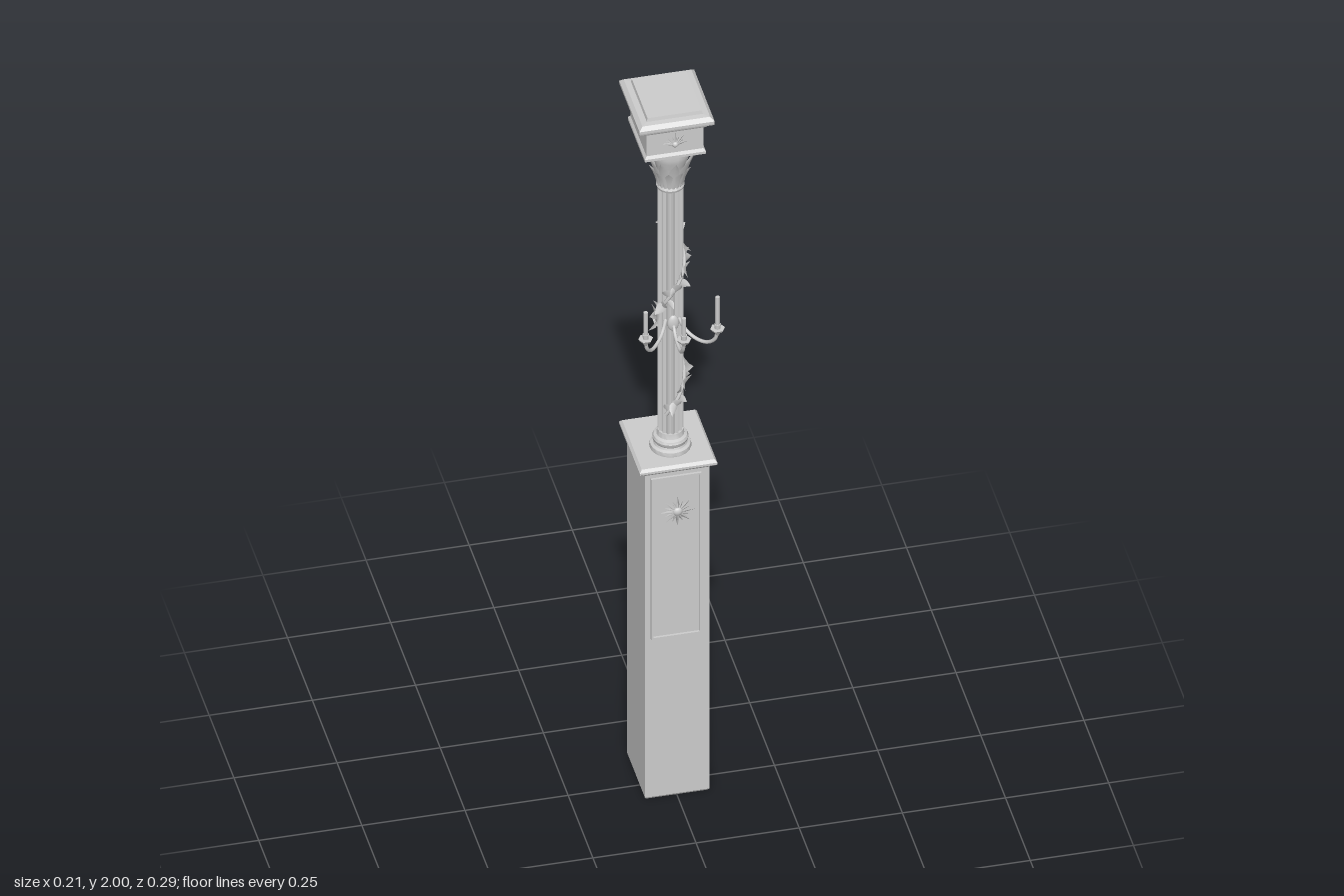
import * as THREE from 'three';
import { toCreasedNormals } from 'three/addons/utils/BufferGeometryUtils.js';

const stone = new THREE.MeshStandardMaterial({ color: 0xcccccc, side: THREE.DoubleSide });
stone.name = 'stone';

const COLUMN_Z = -0.01;

function add(parent, name, geometry, x = 0, y = 0, z = 0) {
  const mesh = new THREE.Mesh(geometry, stone);
  mesh.name = name;
  mesh.position.set(x, y, z);
  parent.add(mesh);
  return mesh;
}

function group(parent, name, x = 0, y = 0, z = 0) {
  const g = new THREE.Group();
  g.name = name;
  g.position.set(x, y, z);
  parent.add(g);
  return g;
}

// Stacked rectangular moulding: profile of [half width, height], deeper than wide by 2 * extra
function moulding(profile, extra) {
  const pos = [], index = [];
  for (const [h, y] of profile) {
    const d = h + extra;
    pos.push(-h, y, d, h, y, d, h, y, -d, -h, y, -d);
  }
  for (let r = 0; r < profile.length - 1; r++) {
    for (let i = 0; i < 4; i++) {
      const a = r * 4 + i, b = r * 4 + (i + 1) % 4;
      index.push(a, b, b + 4, a, b + 4, a + 4);
    }
  }
  const t = (profile.length - 1) * 4;
  index.push(0, 2, 1, 0, 3, 2, t, t + 1, t + 2, t, t + 2, t + 3);
  const g = new THREE.BufferGeometry();
  g.setAttribute('position', new THREE.Float32BufferAttribute(pos, 3));
  g.setIndex(index);
  const flat = g.toNonIndexed();
  flat.computeVertexNormals();
  return flat;
}

function lathe(points, segments = 32) {
  const g = new THREE.LatheGeometry(points.map(([r, y]) => new THREE.Vector2(r, y)), segments);
  return toCreasedNormals(g, 0.6);
}

// Pointed leaf growing up from the origin, folded at the midrib and curling to +z
function leafGeometry(width, length, curl) {
  const g = new THREE.PlaneGeometry(width, length, 2, 6);
  const p = g.attributes.position;
  for (let i = 0; i < p.count; i++) {
    const t = p.getY(i) / length + 0.5;
    const x = p.getX(i) * (0.25 * (1 - t) + Math.sin(Math.PI * Math.pow(t, 0.8)));
    p.setXYZ(i, x, t * length, curl * t * t - Math.abs(x) * 0.5);
  }
  g.computeVertexNormals();
  return g;
}

// Flattened petals radiating from a centre, used on the star and the fan
function petals(parent, count, start, step, length, width) {
  const geo = new THREE.ConeGeometry(width, length, 4).translate(0, length / 2, 0);
  for (let i = 0; i < count; i++) {
    const petal = add(parent, 'petal', geo);
    petal.rotation.z = start + i * step;
    petal.scale.set(1, i % 2 ? 0.75 : 1, 0.6);
  }
}

function buildPedestal(root) {
  const g = group(root, 'pedestal', 0, 0, -0.031);
  add(g, 'pedestalBody', moulding([[0.074, 0], [0.078, 0.006], [0.078, 0.965]], 0.012));
  add(g, 'pedestalCap', moulding([
    [0.079, 0.96], [0.083, 0.966], [0.09, 0.97], [0.094, 0.974], [0.094, 0.98], [0.088, 0.987],
  ], 0.011));

  // Raised frame on the front
  const w = 0.061, h = 0.2375, b = 0.005;
  const rect = (path, x, y) => path.moveTo(-x, -y).lineTo(x, -y).lineTo(x, y).lineTo(-x, y).closePath();
  const frame = rect(new THREE.Shape(), w, h);
  frame.holes.push(rect(new THREE.Path(), w - b, h - b));
  add(root, 'panelFrame', new THREE.ExtrudeGeometry(frame, { depth: 0.007, bevelEnabled: false }), -0.003, 0.7125, 0.058);

  // Star ornament
  const star = group(root, 'starOrnament', 0, 0.845, 0.063);
  petals(star, 16, 0, Math.PI / 8, 0.044, 0.008);
  add(star, 'starCentre', new THREE.SphereGeometry(0.012, 16, 10)).scale.z = 0.7;
}

function buildColumn(root) {
  const g = group(root, 'column', 0, 0, COLUMN_Z);
  add(g, 'columnBase', lathe([
    [0.001, 0.984], [0.048, 0.984], [0.05, 0.99], [0.048, 0.998], [0.041, 1.001], [0.039, 1.006],
    [0.042, 1.011], [0.043, 1.017], [0.04, 1.023], [0.033, 1.026], [0.031, 1.04], [0.001, 1.04],
  ]));

  // Fluted shaft
  const flutes = 14, steps = 6, pts = [];
  for (let i = 0; i < flutes * steps; i++) {
    const a = i / (flutes * steps) * Math.PI * 2;
    const r = 0.0305 - 0.0055 * Math.sin(Math.PI * (i % steps) / steps);
    pts.push(new THREE.Vector2(Math.sin(a) * r, Math.cos(a) * r));
  }
  const shaft = new THREE.ExtrudeGeometry(new THREE.Shape(pts), { depth: 0.74, bevelEnabled: false });
  add(g, 'flutedShaft', shaft.rotateX(-Math.PI / 2), 0, 1.03, 0);

  // Leafy capital
  add(g, 'capitalBell', lathe([
    [0.001, 1.757], [0.032, 1.757], [0.034, 1.763], [0.032, 1.769], [0.029, 1.772], [0.031, 1.8],
    [0.037, 1.83], [0.045, 1.85], [0.047, 1.862], [0.047, 1.874], [0.001, 1.874],
  ]));
  const rows = [[0.025, 0.098, 0.014, 0.15, 0], [0.022, 0.062, 0.012, 0.14, 0.5]];
  for (const [w, l, curl, tilt, shift] of rows) {
    const geo = leafGeometry(w, l, curl);
    for (let i = 0; i < 10; i++) {
      const holder = group(g, 'capitalLeafHolder', 0, 1.768, 0);
      holder.rotation.y = (i + shift) / 10 * Math.PI * 2;
      add(holder, 'capitalLeaf', geo, 0, 0, 0.033).rotation.x = tilt;
    }
  }
}

function buildHead(root) {
  const g = group(root, 'head', 0, 0, -0.044);
  add(g, 'headBlock', moulding([
    [0.066, 1.872], [0.074, 1.876], [0.074, 1.883], [0.069, 1.89], [0.069, 1.952], [0.074, 1.955],
    [0.08, 1.966], [0.09, 1.97], [0.091, 1.974], [0.091, 1.981], [0.082, 1.99], [0.068, 1.991], [0.066, 2],
  ], 0.0125));
  const fan = group(root, 'fanOrnament', 0, 1.915, 0.039);
  petals(fan, 9, -1.4, 0.35, 0.034, 0.006);
  add(fan, 'fanCentre', new THREE.SphereGeometry(0.008, 12, 8));
}

// Vine winding up the column; angle 0 is the front, turning toward +x
function buildVine(root) {
  const g = group(root, 'vine', 0, 0, COLUMN_Z);
  const angle = y => (y - 1.13) / 0.335 * Math.PI * 2;
  const path = [];
  for (let i = 0; i <= 40; i++) {
    const y = 1.1 + 0.55 * i / 40, a = angle(y);
    path.push(new THREE.Vector3(Math.sin(a) * 0.033, y, Math.cos(a) * 0.033));
  }
  add(g, 'vineStem', new THREE.TubeGeometry(new THREE.CatmullRomCurve3(path), 120, 0.0045, 6));
  const geo = leafGeometry(0.02, 0.036, 0.004);
  const turns = [0.5, -0.9, 2.2, -2.4];
  for (let i = 0; i < 44; i++) {
    const y = 1.115 + 0.52 * i / 43;
    const holder = group(g, 'vineLeafHolder', 0, y, 0);
    holder.rotation.y = angle(y);
    const leaf = add(holder, 'vineLeaf', geo, 0, 0, 0.036);
    leaf.rotation.set(0.12 + 0.1 * (i % 3), 0, turns[i % 4] + 0.2 * (i % 3), 'ZXY');
    leaf.scale.setScalar(0.75 + 0.12 * (i % 3));
  }
}

// Candle arms, each built along +z and then turned about the column
function buildCandelabra(root) {
  const g = group(root, 'candelabra', 0, 0, COLUMN_Z);
  const boss = add(g, 'armBoss', new THREE.SphereGeometry(0.014, 16, 10), 0, 1.37, 0.029);
  boss.scale.set(1, 1.6, 0.6);
  const side = Math.atan2(0.087, 0.114);
  for (const [turn, reach, top] of [[-side, 0.1435, 1.48], [0, 0.138, 1.465], [side, 0.1435, 1.495]]) {
    const arm = group(g, 'candleArm');
    arm.rotation.y = turn;
    const path = [[0.026, 1.378], [0.045, 1.353], [0.075, 1.341], [0.11, 1.345], [reach - 0.008, 1.367], [reach, 1.393]]
      .map(([d, y]) => new THREE.Vector3(0, y, d));
    add(arm, 'curvedArm', new THREE.TubeGeometry(new THREE.CatmullRomCurve3(path), 32, 0.0045, 8));
    const cup = add(arm, 'candleCup', new THREE.CylinderGeometry(0.018, 0.014, 0.007, 6), 0, 1.399, reach);
    cup.rotation.y = Math.PI / 6 - turn;
    add(arm, 'cupStem', new THREE.CylinderGeometry(0.011, 0.004, 0.014, 6), 0, 1.39, reach);
    add(arm, 'candleSocket', new THREE.CylinderGeometry(0.008, 0.007, 0.014, 8), 0, 1.408, reach);
    add(arm, 'candle', new THREE.CylinderGeometry(0.0055, 0.0055, top - 1.405, 8), 0, (top + 1.405) / 2, reach);
  }
}

export function createModel() {
  const root = new THREE.Group();
  root.name = 'candleColumn';
  buildPedestal(root);
  buildColumn(root);
  buildHead(root);
  buildVine(root);
  buildCandelabra(root);
  return root;
}
